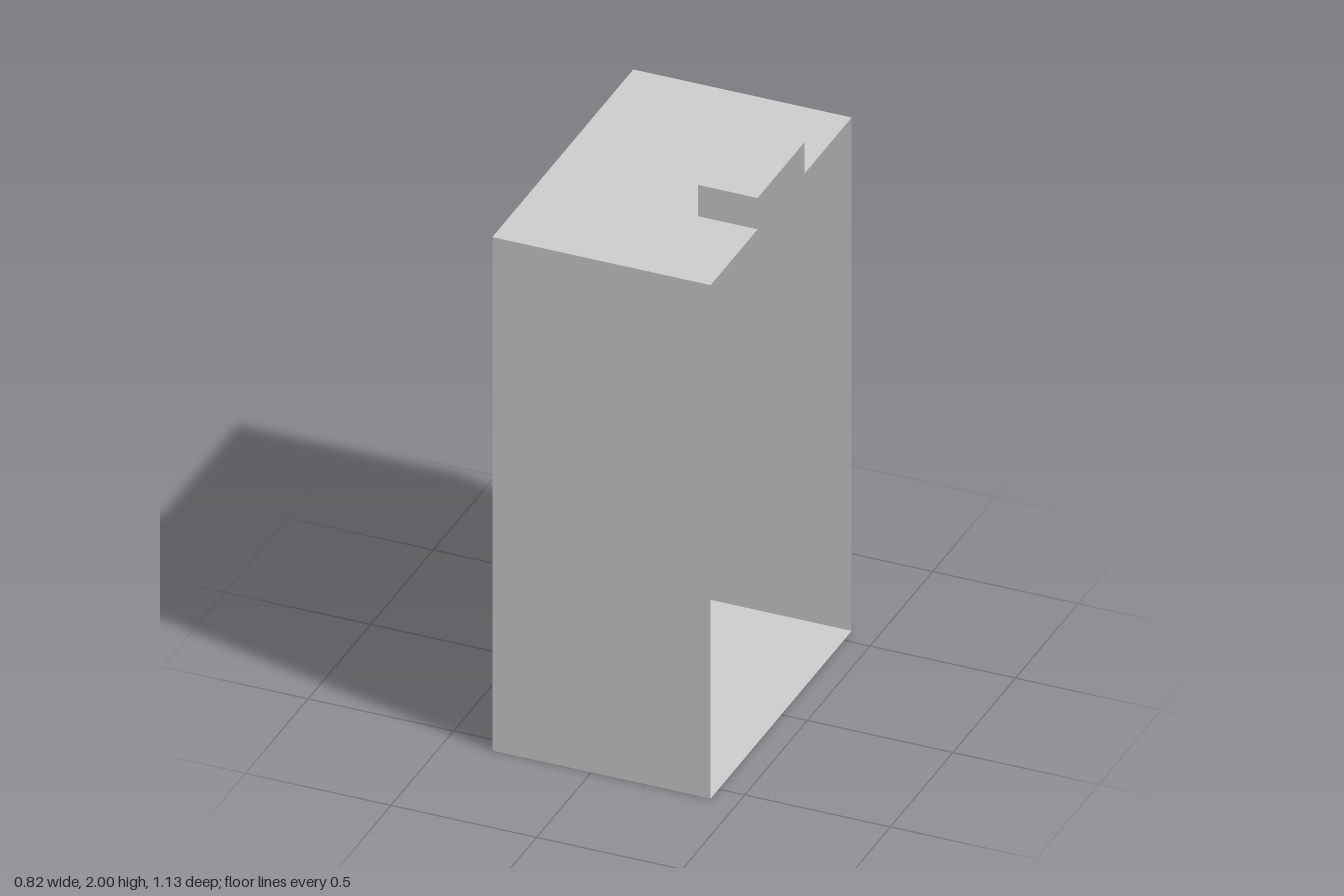
import * as THREE from 'three';

const material = new THREE.MeshStandardMaterial({
  color: 0xcccccc, flatShading: true, side: THREE.DoubleSide,
});

// Rectangle facing -x, corners in counter-clockwise order seen from outside
const rect = (x, z0, z1, y0, y1) => [[x, y0, z0], [x, y0, z1], [x, y1, z1], [x, y1, z0]];

// Joins successive rectangles with quads; skip leaves out one side
// (0 bottom, 1 +z, 2 top, 3 -z); cap closes the last rectangle
function loft(name, rects, { skip = -1, cap = false } = {}) {
  const pos = [];
  const quad = (a, b, c, d) => pos.push(...a, ...b, ...c, ...a, ...c, ...d);
  for (let r = 0; r < rects.length - 1; r++) {
    const p = rects[r], q = rects[r + 1];
    for (let i = 0; i < 4; i++) {
      const j = (i + 1) % 4;
      if (i !== skip) quad(p[i], p[j], q[j], q[i]);
    }
  }
  if (cap) quad(...rects[rects.length - 1]);
  const geo = new THREE.BufferGeometry();
  geo.setAttribute('position', new THREE.Float32BufferAttribute(pos, 3));
  geo.computeVertexNormals();
  const mesh = new THREE.Mesh(geo, material);
  mesh.name = name;
  return mesh;
}

export function createModel() {
  const group = new THREE.Group();
  group.name = 'cabinetShell';

  const back = 0.41, face = -0.34, H = 1.885, Z = 0.563;
  const boxX = 0.205, boxZ = 0.188;
  const panel = -0.343;

  // Floor and two side walls, open towards +x
  group.add(loft('floorAndWalls',
    [rect(back, -Z, Z, 0, H), rect(face, -Z, Z, 0, H)], { skip: 2 }));

  // Roof, notched where the raised box opens into it
  const roofShape = new THREE.Shape([
    [face, -Z], [back, -Z], [back, -boxZ], [boxX, -boxZ],
    [boxX, boxZ], [back, boxZ], [back, Z], [face, Z],
  ].map(([x, y]) => new THREE.Vector2(x, y)));
  const roof = new THREE.Mesh(new THREE.ShapeGeometry(roofShape), material);
  roof.name = 'roof';
  roof.rotation.x = -Math.PI / 2;
  roof.position.y = H;
  group.add(roof);

  // Raised box on the roof, open below and towards +x
  group.add(loft('roofBox', [
    rect(back, -boxZ, boxZ, H, 2),
    rect(boxX, -boxZ, boxZ, H, 2),
  ], { skip: 0, cap: true }));

  // Door frame, its inner groove wall, and the bevel rising to the panel
  const grooveRim = (x) => rect(x, -0.47, 0.47, 0.1, 1.79);
  const panelRim = rect(panel, -0.413, 0.413, 0.155, 1.735);
  group.add(loft('doorFrame', [rect(face, -Z, Z, 0, H), grooveRim(face)]));
  group.add(loft('doorGroove', [grooveRim(face), grooveRim(-0.265), panelRim]));

  // Door panel with the opening behind the handle, then the hollow handle
  const handleRim = (x) => rect(x, 0.33, 0.387, 0.71, 1.18);
  group.add(loft('doorPanel', [panelRim, handleRim(panel)]));
  group.add(loft('doorHandle', [handleRim(panel), handleRim(-0.41)], { cap: true }));

  return group;
}
